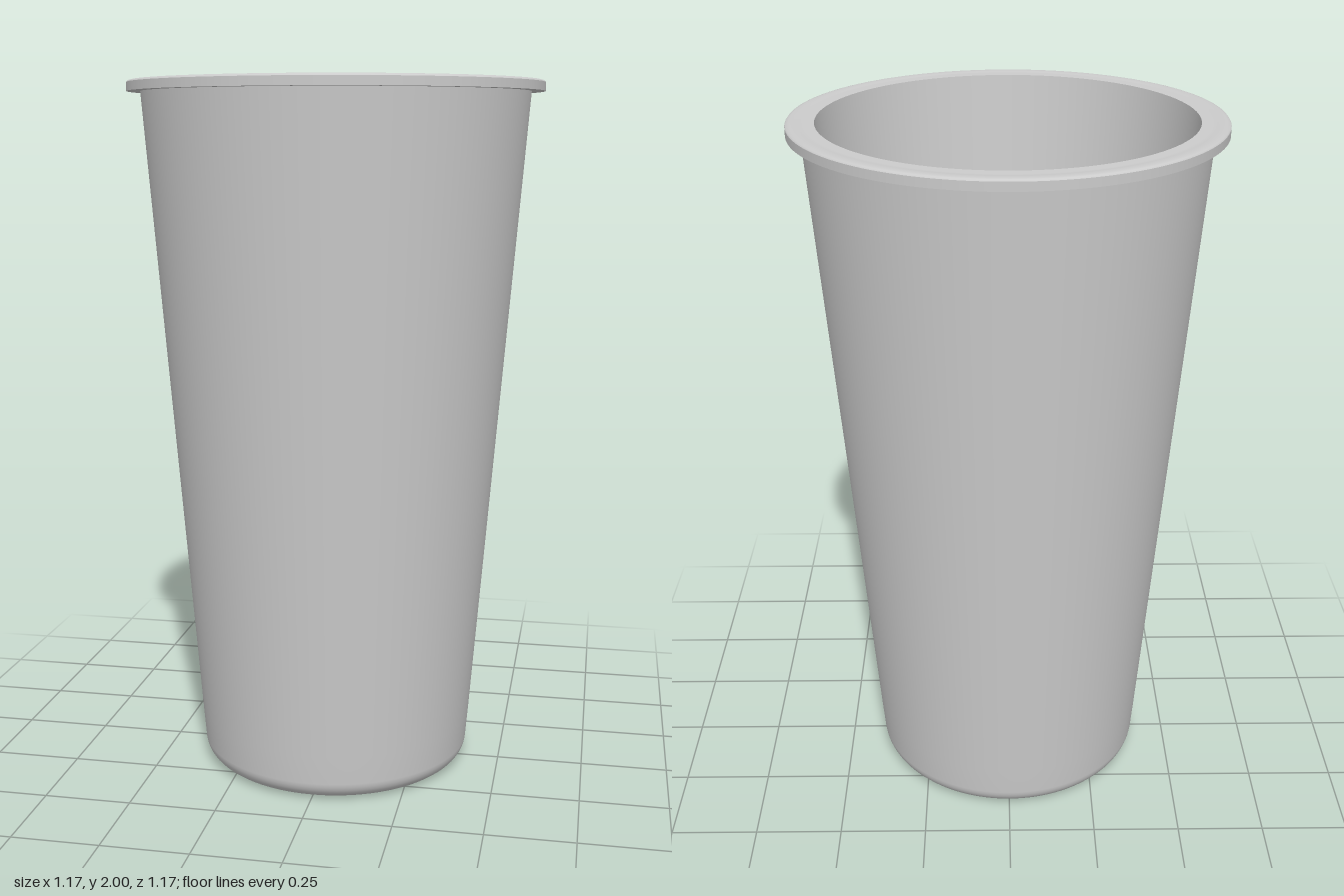
import * as THREE from 'three';

const SEGMENTS = 128;

export function createModel() {
  const group = new THREE.Group();
  group.name = 'cup';
  const material = new THREE.MeshStandardMaterial({ color: 0xcccccc, side: THREE.DoubleSide });

  // Revolves a profile of [radius, y] pairs; separate profiles meet in sharp edges.
  const revolve = (name, profile) => {
    const points = profile.map(([r, y]) => new THREE.Vector2(r, y));
    const mesh = new THREE.Mesh(new THREE.LatheGeometry(points, SEGMENTS), material);
    mesh.name = name;
    group.add(mesh);
  };

  // Rounded corner between floor and wall, from the floor up to the wall
  const fillet = (r, y, size, steps = 8) => Array.from({ length: steps + 1 }, (_, i) => {
    const a = (i / steps) * 1.49;
    return [r - size + size * Math.sin(a), y + size - size * Math.cos(a)];
  });

  // Base and tapered outside wall
  revolve('outerWall', [[0, 0], [0.33, 0], ...fillet(0.398, 0, 0.06), [0.405, 0.14], [0.548, 1.97]]);

  // Flat underside and upright edge of the lip
  revolve('rimUnderside', [[0.548, 1.97], [0.586, 1.97]]);
  revolve('rimEdge', [[0.586, 1.97], [0.586, 1.994]]);

  // Top of the lip, softened towards the outside
  revolve('rimTop', [[0.586, 1.994], [0.583, 1.998], [0.575, 2], [0.558, 2], [0.55, 1.998], [0.54, 1.998], [0.509, 1.998]]);

  // Tapered inside wall, rounded into the floor
  revolve('innerWall', [[0.509, 1.998], [0.37, 0.16], ...fillet(0.362, 0.04, 0.05).reverse(), [0.29, 0.04], [0, 0.04]]);

  return group;
}
